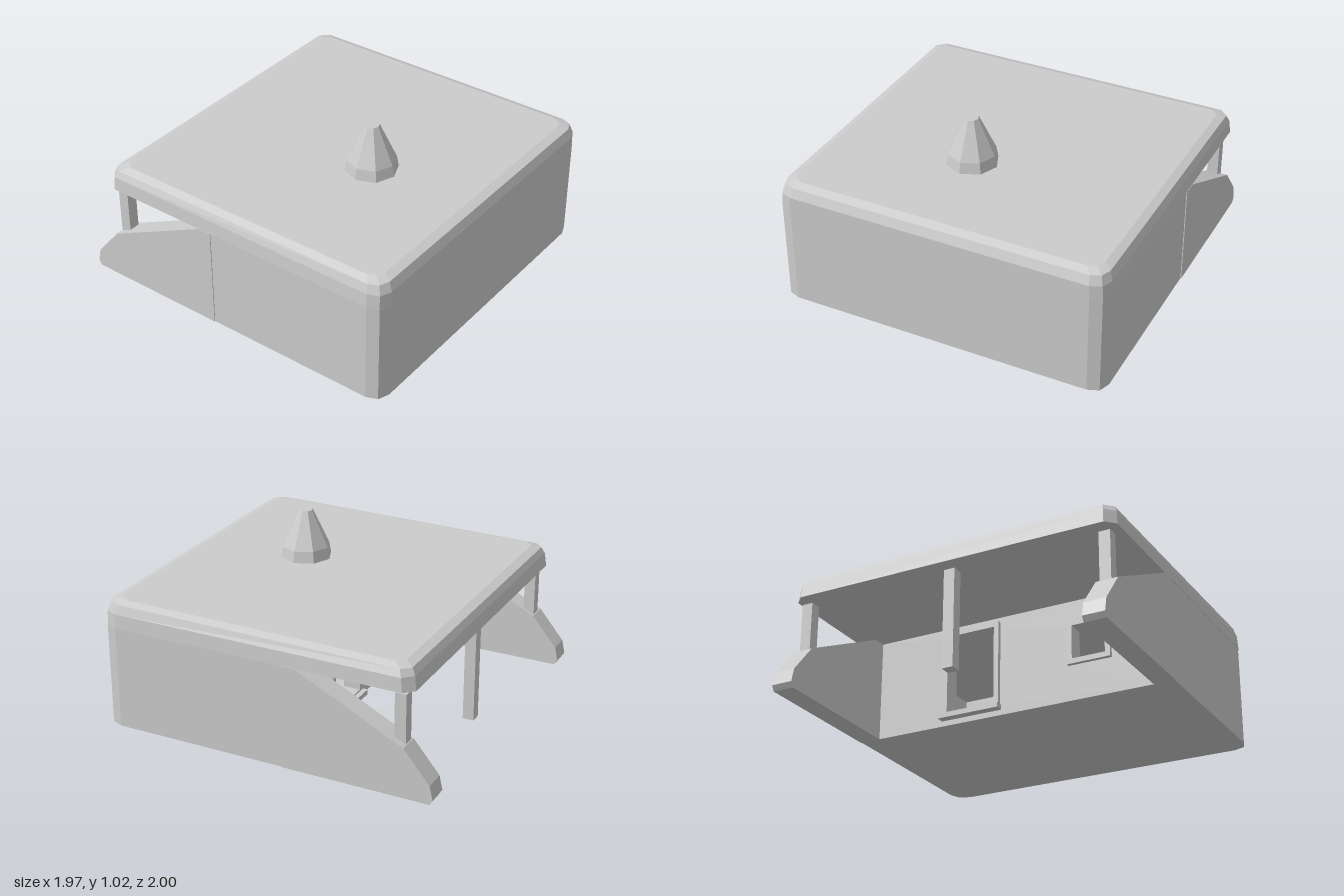
import * as THREE from 'three';

const mat = new THREE.MeshStandardMaterial({ color: 0xcccccc, flatShading: true });

function add(parent, name, geometry, x = 0, y = 0, z = 0) {
  const mesh = new THREE.Mesh(geometry, mat);
  mesh.name = name;
  mesh.position.set(x, y, z);
  parent.add(mesh);
  return mesh;
}

const box = (w, h, d) => new THREE.BoxGeometry(w, h, d);

// Rectangular outline in x/z with bevelled corners, from front left round to the back
function outline(hx, front, back, cut) {
  const k = cut * 0.3;
  const quarter = [[hx, front - cut], [hx - k, front - k], [hx - cut, front]];
  const rear = [[hx - cut * 0.6, back], [hx, back + cut * 0.6]];
  const left = [...rear, ...quarter];
  const right = left.map(([x, z]) => [-x, z]).reverse();
  return [...left, ...right];
}

// Closed solid through a stack of rings of 3D points
function loft(rings) {
  const n = rings[0].length;
  const pos = rings.flat(2);
  const index = [];
  for (let r = 0; r < rings.length - 1; r++) {
    for (let i = 0; i < n; i++) {
      const a = r * n + i, b = r * n + (i + 1) % n;
      index.push(a, a + n, b, b, a + n, b + n);
    }
  }
  const top = (rings.length - 1) * n;
  for (let i = 1; i < n - 1; i++) {
    index.push(0, i, i + 1);
    index.push(top, top + i + 1, top + i);
  }
  const g = new THREE.BufferGeometry();
  g.setAttribute('position', new THREE.Float32BufferAttribute(pos, 3));
  g.setIndex(index);
  const flat = g.toNonIndexed();
  flat.computeVertexNormals();
  return flat;
}

function rectPath(Type, x0, y0, x1, y1) {
  return new Type([[x0, y0], [x1, y0], [x1, y1], [x0, y1]].map(p => new THREE.Vector2(...p)));
}

const extrude = (shape, depth) => new THREE.ExtrudeGeometry(shape, { depth, bevelEnabled: false });

export function createModel() {
  const model = new THREE.Group();
  model.name = 'house';

  // Roof slab with bevelled rim, dropping slightly towards the back
  const roofRings = [
    [0.6, 0.983, 1.0, -0.87, 0.09],
    [0.68, 0.977, 1.0, -0.86, 0.09],
    [0.733, 0.96, 0.98, -0.84, 0.08],
    [0.75, 0.915, 0.93, -0.79, 0.07],
  ].map(([y, hx, f, b, cut]) => outline(hx, f, b, cut).map(([x, z]) =>
    [x, y - (y > 0.7 ? 0.008 * (1 - z) : 0), z]));
  add(model, 'roof', loft(roofRings));

  // Front and side walls: one U-shaped strip (shape y becomes model z)
  const wallLine = [[0.98, -0.12], [0.98, 0.91], [0.955, 0.975], [0.89, 1]];
  const innerLine = [[0.86, -0.12], [0.86, 0.88]];
  const mirror = pts => pts.map(([x, z]) => [-x, z]).reverse();
  const plan = [...wallLine, ...mirror(wallLine), ...innerLine.map(([x, z]) => [-x, z]),
    ...[...innerLine].reverse()];
  const walls = extrude(new THREE.Shape(plan.map(([x, z]) => new THREE.Vector2(x, z))), 0.6);
  walls.rotateX(Math.PI / 2);
  add(model, 'outerWalls', walls, 0, 0.6, 0);

  // Floor
  const floor = loft([0, 0.06].map(y => outline(0.965, 0.985, -0.12, 0.08).map(([x, z]) => [x, y, z])));
  add(model, 'floor', floor, 0, 0.0, 0);

  // Back wall with door and window openings
  const door = [0.1, 0.07, 0.4, 0.54];
  const win = [-0.59, 0.24, -0.39, 0.44];
  const backShape = rectPath(THREE.Shape, -0.86, 0, 0.86, 0.6);
  for (const o of [door, win]) backShape.holes.push(rectPath(THREE.Path, ...o));
  add(model, 'backWall', extrude(backShape, 0.08), 0, 0, -0.121);

  // Raised frames round the openings
  for (const [name, [x0, y0, x1, y1]] of [['doorFrame', door], ['windowFrame', win]]) {
    const t = 0.03;
    const frame = rectPath(THREE.Shape, x0 - t, y0 - t, x1 + t, y1 + t);
    frame.holes.push(rectPath(THREE.Path, x0, y0, x1, y1));
    add(model, name, extrude(frame, 0.03), 0, 0, -0.145);
  }
  add(model, 'doorSill', box(0.38, 0.03, 0.05), 0.25, 0.045, -0.15);

  // Sloping side wings and the porch posts standing on them
  const wingShape = new THREE.Shape([
    [0.12, 0], [0.98, 0], [0.998, 0.03], [0.98, 0.11], [0.83, 0.29], [0.2, 0.6], [0.12, 0.6],
  ].map(p => new THREE.Vector2(...p)));
  for (const side of [1, -1]) {
    const wing = extrude(wingShape, 0.125);
    wing.rotateY(Math.PI / 2);
    add(model, side > 0 ? 'leftWing' : 'rightWing', wing, side > 0 ? 0.86 : -0.985);
    add(model, side > 0 ? 'leftPost' : 'rightPost', box(0.065, 0.325, 0.065), side * 0.912, 0.4125, -0.792);
  }
  add(model, 'middlePost', box(0.065, 0.575, 0.065), 0, 0.2875, -0.792);

  // Eight-sided tapering chimney
  const profile = [[0, 0.73], [0.155, 0.73], [0.14, 0.81], [0.042, 1.025], [0, 1.025]]
    .map(p => new THREE.Vector2(...p));
  add(model, 'chimney', new THREE.LatheGeometry(profile, 8), -0.125, 0, 0.32);

  return model;
}
